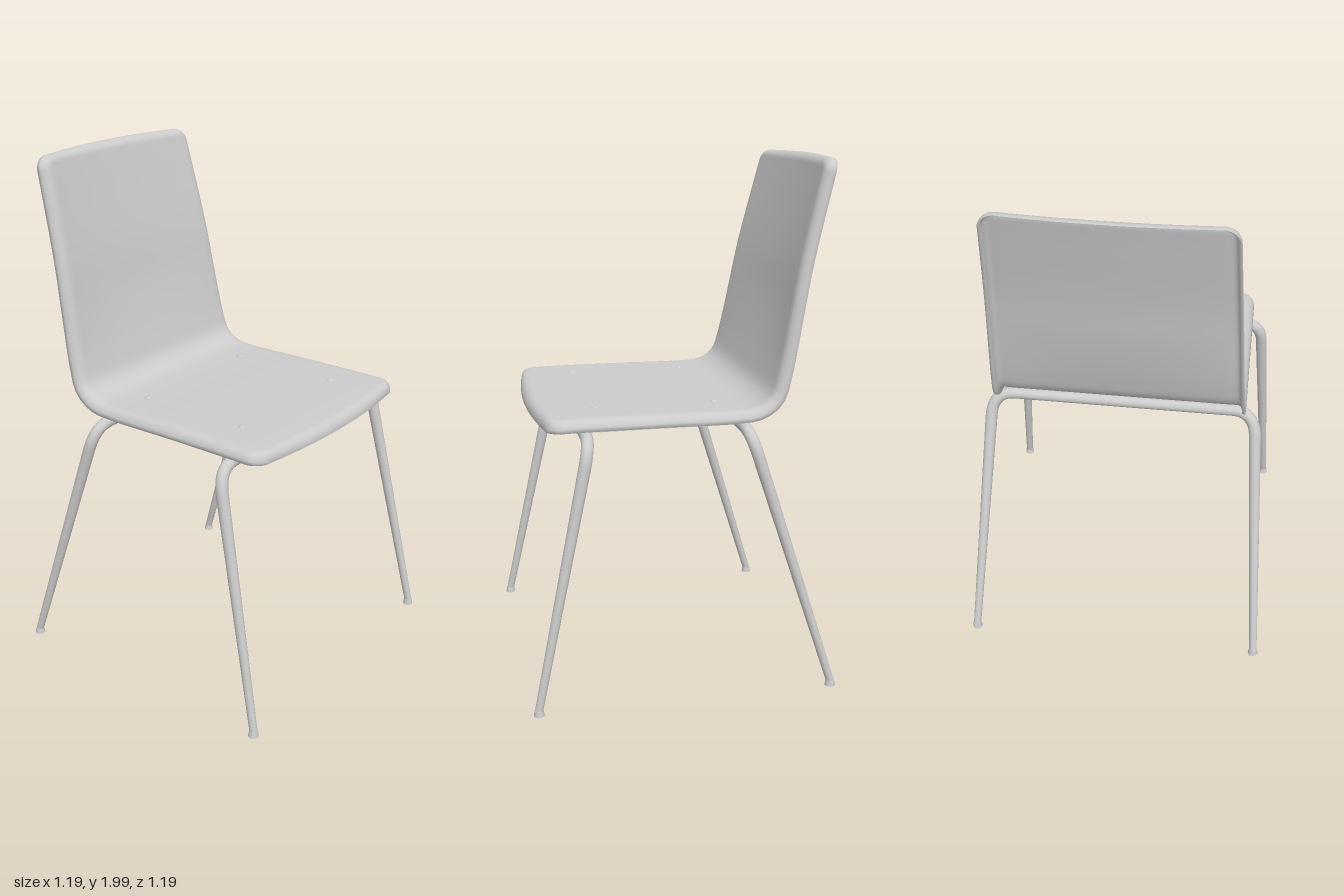
import * as THREE from 'three';

const V = (x, y, z) => new THREE.Vector3(x, y, z);
const material = new THREE.MeshStandardMaterial({ color: 0xcccccc });
const shellMaterial = new THREE.MeshStandardMaterial({ color: 0xcccccc, side: THREE.DoubleSide });

function add(parent, name, geometry, x = 0, y = 0, z = 0) {
  const mesh = new THREE.Mesh(geometry, material);
  mesh.name = name;
  mesh.position.set(x, y, z);
  parent.add(mesh);
  return mesh;
}

// Tapered round rod between two points
function rod(parent, name, from, to, rFrom, rTo) {
  const dir = to.clone().sub(from);
  const mesh = add(parent, name, new THREE.CylinderGeometry(rTo, rFrom, dir.length(), 20));
  mesh.position.copy(from).addScaledVector(dir, 0.5);
  mesh.quaternion.setFromUnitVectors(V(0, 1, 0), dir.normalize());
}

// One-piece seat and back: a thin sheet swept along a side profile, its rim rolled down and back
function shellGeometry() {
  const profile = new THREE.CatmullRomCurve3([
    V(0, 1.073, 0.54), V(0, 1.078, 0.44), V(0, 1.08, 0.1), V(0, 1.079, -0.2), V(0, 1.087, -0.275),
    V(0, 1.125, -0.33), V(0, 1.2, -0.355), V(0, 1.6, -0.432), V(0, 1.85, -0.492), V(0, 2.0, -0.53),
  ], false, 'centripetal');
  profile.arcLengthDivisions = 600;
  const length = profile.getLength();
  const rows = 110, cols = 32, roll = 0.038, depth = 0.043, thickness = 0.011;
  const ring = 2 * (cols + 1);
  const positions = [], index = [];

  for (let row = 0; row <= rows + 2; row++) {
    const k = Math.min(Math.max(row - 1, 0), rows) / rows;
    const u = 0.5 - 0.5 * Math.cos(Math.PI * k);
    const isCap = row === 0 || row === rows + 2;
    const radius = u < 0.5 ? 0.07 : 0.055;
    const toEnd = Math.min(u, 1 - u) * length;
    const rise = THREE.MathUtils.clamp((profile.getPointAt(u).y - 1.08) / 0.92, 0, 1);
    const fullWidth = 0.473 - 0.052 * rise;
    const inset = Math.max(radius - toEnd, 0);
    const width = fullWidth - radius + Math.sqrt(radius * radius - inset * inset);

    for (let j = 0; j < ring; j++) {
      const under = j > cols;
      const c = under ? ring - 1 - j : j;
      const t = Math.sin(Math.PI * (c / cols - 0.5));
      const x = t * width;
      // Bowed front and top edges
      const bow = (0.03 * Math.max(0, 1 - u * 4) - 0.012 * Math.max(0, u * 4 - 3)) * t * t;
      const v = THREE.MathUtils.clamp(u + bow / length, 0, 1);
      const p = profile.getPointAt(v);
      const tangent = profile.getTangentAt(v);
      const normal = V(0, -tangent.z, tangent.y);
      // Rolled rim, measured by distance to the rounded outline
      const a = fullWidth - Math.abs(x);
      const edge = a < radius && toEnd < radius
        ? radius - Math.hypot(radius - a, radius - toEnd) : Math.min(a, toEnd);
      const e = 1 - THREE.MathUtils.clamp(edge / roll, 0, 1);
      const drop = depth * (1 - Math.sqrt(1 - e * e));
      // The back is gently hollowed across its width
      const hollow = 0.024 * THREE.MathUtils.smoothstep(p.y, 1.08, 1.5) * (1 - t * t);
      const layer = under && !isCap ? thickness : 0;
      p.addScaledVector(normal, -drop - hollow - layer * (1 - e));
      positions.push(x - Math.sign(t) * layer * e, p.y, p.z);
    }
  }
  for (let r = 0; r < rows + 2; r++) {
    for (let j = 0; j < ring; j++) {
      const a = r * ring + j, b = r * ring + (j + 1) % ring;
      index.push(a, b, a + ring, b, b + ring, a + ring);
    }
  }
  const geometry = new THREE.BufferGeometry();
  geometry.setAttribute('position', new THREE.Float32BufferAttribute(positions, 3));
  geometry.setIndex(index);
  geometry.computeVertexNormals();
  return geometry;
}

// Cross bar bending down into a pair of splayed, tapered legs
function legFrame(name, zBar, zFoot) {
  const frame = new THREE.Group();
  frame.name = name;
  const barY = 1.008, r = 0.023;
  const corner = s => V(s * 0.508, barY, zBar);
  const foot = s => V(s * 0.575, 0.018, zFoot);
  const legTop = s => corner(s).lerp(foot(s), 0.1);
  const path = new THREE.CurvePath();
  path.add(new THREE.QuadraticBezierCurve3(legTop(-1), corner(-1), V(-0.42, barY, zBar)));
  path.add(new THREE.LineCurve3(V(-0.42, barY, zBar), V(0.42, barY, zBar)));
  path.add(new THREE.QuadraticBezierCurve3(V(0.42, barY, zBar), corner(1), legTop(1)));
  add(frame, 'crossBar', new THREE.TubeGeometry(path, 120, r, 20));
  for (const s of [-1, 1]) {
    rod(frame, 'leg', legTop(s), foot(s), r, 0.015);
    add(frame, 'footCap', new THREE.CylinderGeometry(0.016, 0.02, 0.022, 20), s * 0.575, 0.011, zFoot);
  }
  return frame;
}

export function createModel() {
  const chair = new THREE.Group();
  chair.name = 'chair';

  const shell = add(chair, 'seatShell', shellGeometry());
  shell.material = shellMaterial;

  chair.add(legFrame('frontLegs', 0.36, 0.572));
  chair.add(legFrame('rearLegs', -0.235, -0.55));

  // Rails under the seat, with spacers and domed fixings
  for (const x of [-0.295, 0.295]) {
    add(chair, 'seatRail', new THREE.BoxGeometry(0.035, 0.042, 0.58), x, 1.009, 0.0625);
    for (const z of [-0.15, 0.305]) {
      add(chair, 'spacer', new THREE.CylinderGeometry(0.016, 0.016, 0.045, 16), x, 1.05, z);
      const dome = new THREE.SphereGeometry(0.014, 16, 6, 0, Math.PI * 2, 0, Math.PI / 2);
      add(chair, 'fixing', dome, x, 1.079, z).scale.y = 0.4;
    }
  }
  return chair;
}
